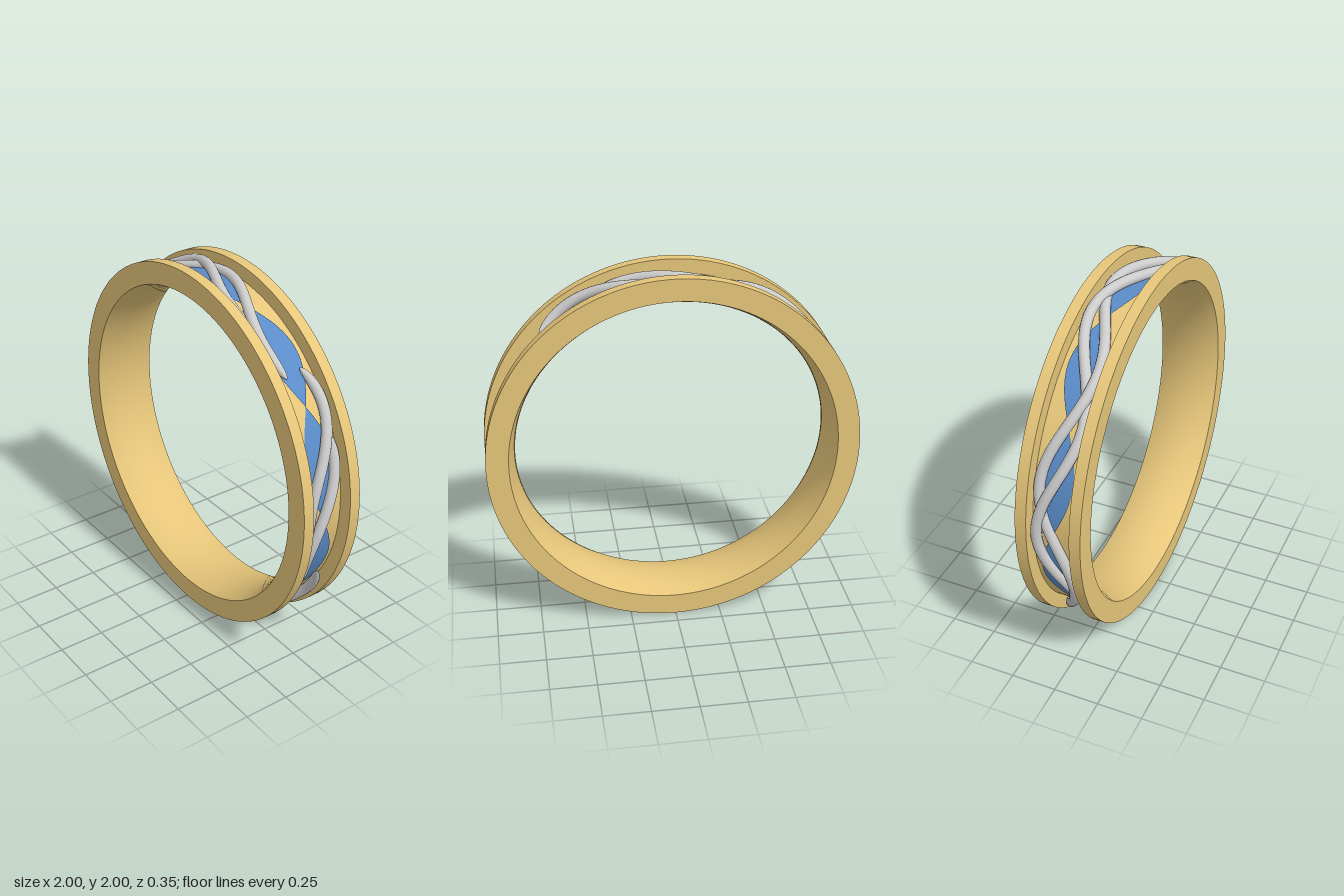
import * as THREE from 'three';
import { toCreasedNormals } from 'three/addons/utils/BufferGeometryUtils.js';

const gold = new THREE.MeshStandardMaterial({ color: 0xe6c67a });
const blue = new THREE.MeshStandardMaterial({ color: 0x5a8cc8, side: THREE.DoubleSide });
const grey = new THREE.MeshStandardMaterial({ color: 0xcccccc });
const rad = THREE.MathUtils.degToRad;

// Band with two raised rails, a groove between them and a softly bowed bore
function bandGeometry() {
  const half = 0.175, rail = 0.115, groove = 0.925;
  const profile = [
    [0.88, -half], [1, -half], [1, -rail], [groove, -rail],
    [groove, rail], [1, rail], [1, half],
  ].map(([r, y]) => new THREE.Vector2(r, y));
  for (let i = 0; i <= 12; i++) {
    const t = 1 - i / 6;
    profile.push(new THREE.Vector2(0.84 + 0.04 * t * t, half * t));
  }
  const geometry = new THREE.LatheGeometry(profile, 144);
  geometry.rotateX(Math.PI / 2);
  return toCreasedNormals(geometry, 0.6);
}

// Pointed leaf wrapped on the floor of the groove
function leafGeometry(start, span) {
  const geometry = new THREE.PlaneGeometry(1, 1, 28, 2);
  const p = geometry.attributes.position;
  for (let i = 0; i < p.count; i++) {
    const u = p.getX(i) + 0.5;
    const a = rad(start + span * u);
    const z = p.getY(i) * 2 * 0.088 * Math.sin(Math.PI * u);
    p.setXYZ(i, 0.931 * Math.cos(a), 0.931 * Math.sin(a), z);
  }
  geometry.computeVertexNormals();
  return geometry;
}

// Round wire weaving along the groove, tapered at both ends
function strandGeometry(from, to, peak, lift) {
  const span = Math.abs(to - from);
  const steps = Math.ceil(span);
  const points = [];
  for (let i = 0; i <= span / 4; i++) {
    const deg = THREE.MathUtils.lerp(from, to, i / Math.floor(span / 4));
    const a = rad(deg);
    const r = 0.944 + lift * 0.012 * Math.cos(rad(5 * (deg - 27)));
    points.push(new THREE.Vector3(
      r * Math.cos(a), r * Math.sin(a), -0.084 * Math.cos(rad(5 * (deg - peak)))));
  }
  const curve = new THREE.CatmullRomCurve3(points);
  const sides = 14;
  const geometry = new THREE.TubeGeometry(curve, steps, 0.028, sides);
  const p = geometry.attributes.position;
  const v = new THREE.Vector3();
  for (let i = 0; i <= steps; i++) {
    const centre = curve.getPointAt(i / steps);
    const end = Math.min(i, steps - i) / 9;
    const scale = end >= 1 ? 1 : Math.sqrt(Math.max(0.02, 1 - (1 - end) ** 2));
    for (let j = 0; j <= sides; j++) {
      const k = i * (sides + 1) + j;
      v.fromBufferAttribute(p, k).sub(centre).multiplyScalar(scale).add(centre);
      p.setXYZ(k, v.x, v.y, v.z);
    }
  }
  geometry.computeBoundingSphere();
  return geometry;
}

export function createModel() {
  const model = new THREE.Group();
  model.name = 'ring';
  const add = (geometry, material, name) => {
    const mesh = new THREE.Mesh(geometry, material);
    mesh.name = name;
    mesh.position.y = 1;
    model.add(mesh);
  };

  add(bandGeometry(), gold, 'band');

  // Ten inlaid leaves, tip to tip
  for (let i = 0; i < 10; i++) add(leafGeometry(-1.5 + 36 * i, 36), blue, 'leafInlay');

  // Paired wires: two short pairs and one long pair, in degrees around the ring
  const firstRuns = [[46, -8], [-26, -80], [-98, -296]];
  const secondRuns = [[27, -28], [-45, -100], [-117, -316]];
  for (const [from, to] of firstRuns) add(strandGeometry(from, to, 35, 1), grey, 'firstStrand');
  for (const [from, to] of secondRuns) add(strandGeometry(from, to, 19, -1), grey, 'secondStrand');

  return model;
}
